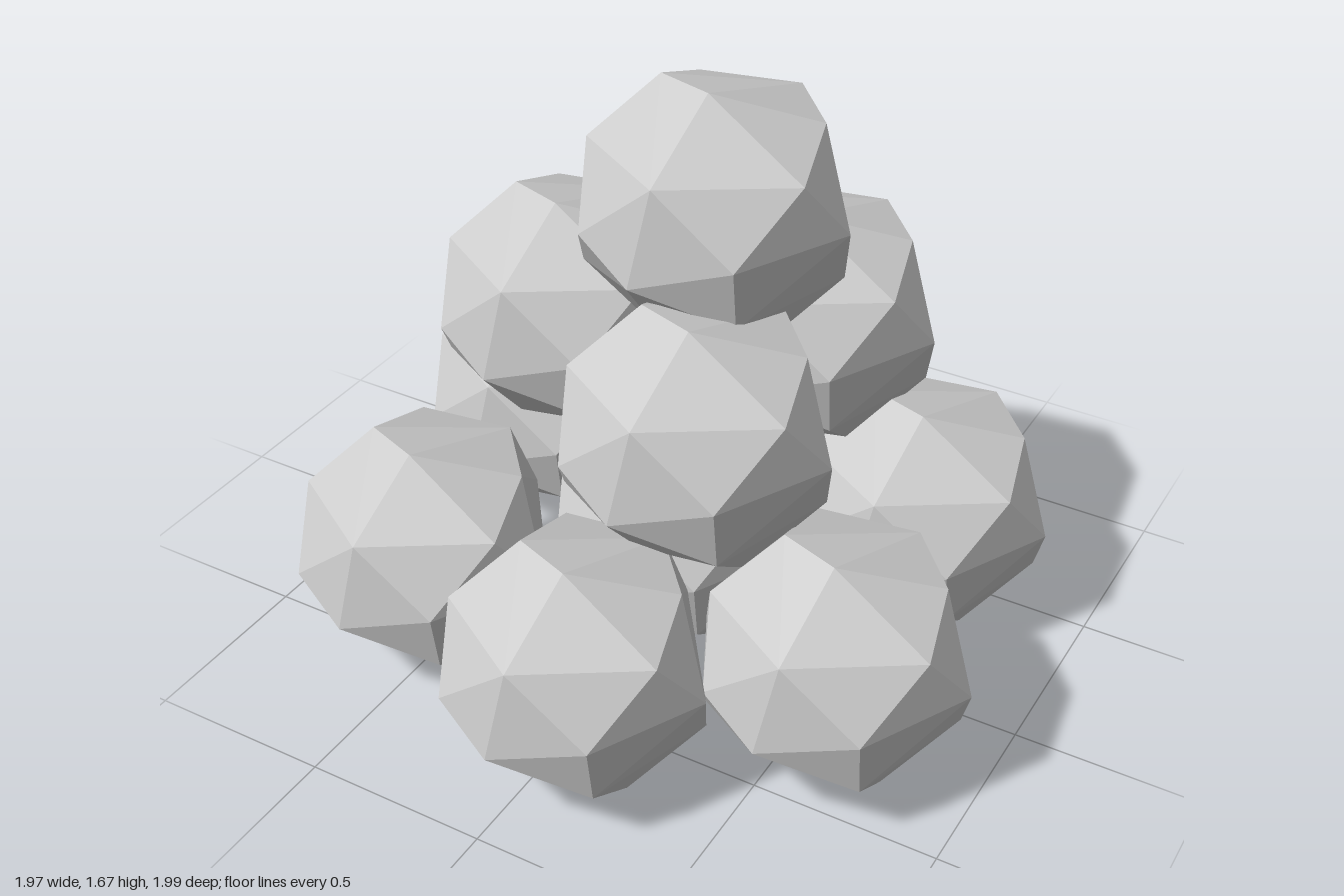
import * as THREE from 'three';
import { ConvexGeometry } from 'three/addons/geometries/ConvexGeometry.js';

// Corners of one faceted boulder, relative to its centre
const corners = [
  // top face
  [-0.14, 0.33, 0.025], [0.03, 0.347, 0.10], [0.25, 0.25, -0.075], [0.10, 0.25, -0.245], [-0.185, 0.22, -0.245],
  // upper ring
  [-0.28, 0.18, 0.14], [0.0, 0.185, 0.315], [0.295, 0.18, 0.12],
  // middle ring
  [-0.355, -0.01, 0.02], [-0.215, 0.0, 0.29], [-0.047, -0.075, 0.347], [0.205, 0.01, 0.29],
  [0.363, 0.02, 0.005], [0.116, 0.027, -0.337], [-0.235, -0.06, -0.26],
  // lower ring
  [-0.285, -0.15, 0.16], [0.193, -0.165, 0.25], [0.30, -0.17, -0.11], [0.03, -0.235, -0.27], [-0.225, -0.25, -0.13],
  // underside
  [0.155, -0.33, 0.035], [-0.12, -0.345, 0.08],
];

// Boulder centres, layer by layer: [height, [[x, z], ...]]
const layers = [
  ['base', 0.345, [[0, 0], [0.62, 0.31], [0.54, -0.37], [-0.03, -0.66], [-0.635, -0.335], [-0.515, 0.435], [0.08, 0.645]]],
  ['middle', 0.873, [[-0.375, -0.06], [0.205, -0.32], [0.225, 0.31]]],
  ['top', 1.32, [[0.105, 0.01]]],
];

export function createModel() {
  const pile = new THREE.Group();
  pile.name = 'boulderPile';
  const stone = new THREE.MeshStandardMaterial({ color: 0xcccccc, flatShading: true });
  const geometry = new ConvexGeometry(corners.map((p) => new THREE.Vector3(...p)));

  for (const [name, y, spots] of layers) {
    const layer = new THREE.Group();
    layer.name = `${name}Layer`;
    spots.forEach(([x, z], i) => {
      const boulder = new THREE.Mesh(geometry, stone);
      boulder.name = `${name}Boulder${i + 1}`;
      boulder.position.set(x, y, z);
      layer.add(boulder);
    });
    pile.add(layer);
  }
  return pile;
}
